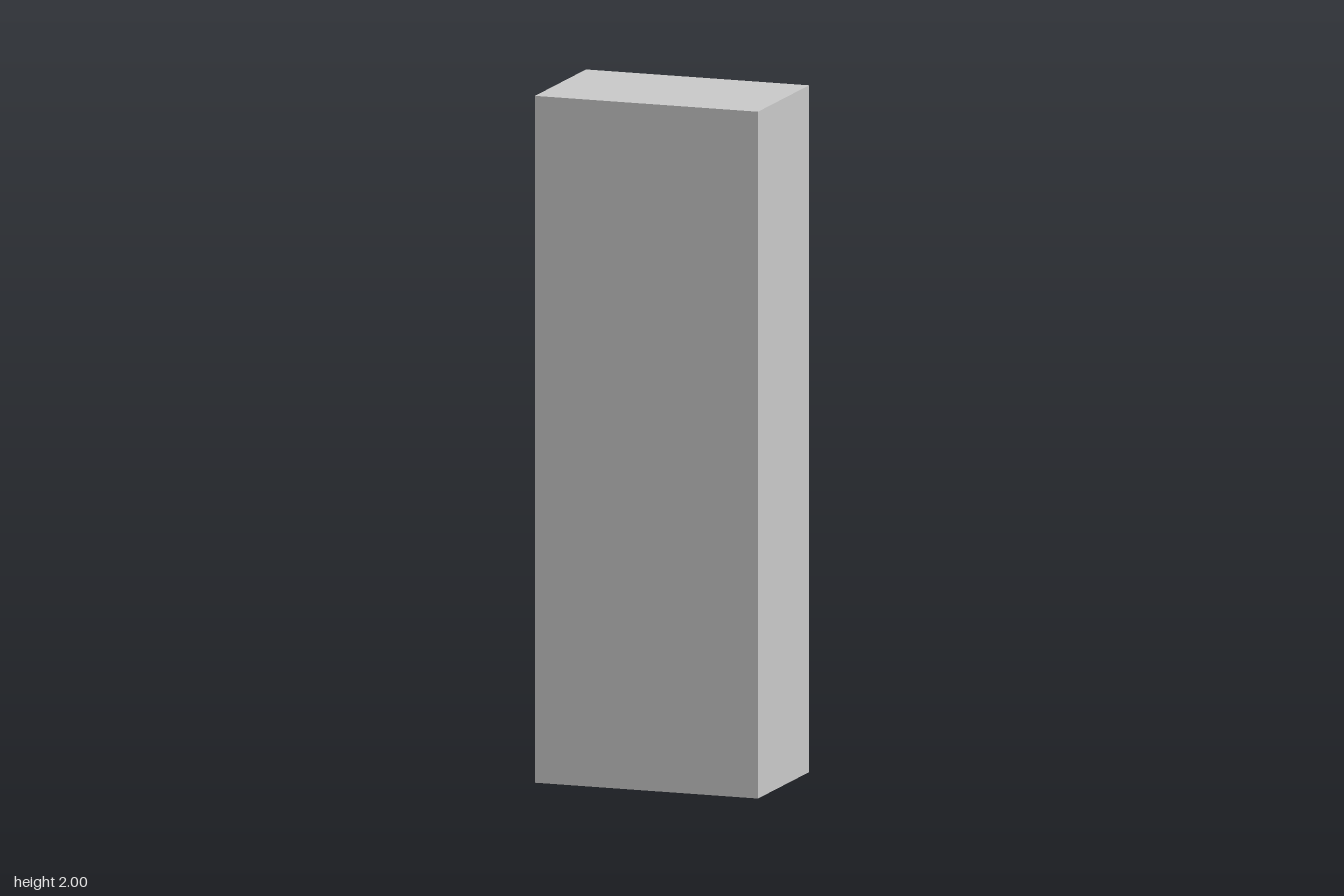
import * as THREE from 'three';

const W = 0.68, H = 2, D = 0.42;   // overall cabinet size
const BAY_W = 0.436;               // width of the recess at the foot of the back
const BAY_H = 0.325, BAY_D = 0.028; // its height and depth
const PLATE_Y = 0.022;             // raised underside plate

export function createModel() {
  const group = new THREE.Group();
  group.name = 'cabinet';
  const material = new THREE.MeshStandardMaterial({ color: 0xcccccc });

  const add = (name, geometry, x = 0) => {
    const mesh = new THREE.Mesh(geometry, material);
    mesh.name = name;
    mesh.position.x = x;
    group.add(mesh);
  };

  // Centre section: side profile (z, y) with the back recess and raised plate
  const back = -D / 2, front = D / 2, panel = back + BAY_D;
  const profile = new THREE.Shape([
    [front, 0], [front, H], [back, H], [back, BAY_H],
    [panel, BAY_H], [panel, 0.034], [panel + 0.006, PLATE_Y],
    [0.005, PLATE_Y], [0.005, 0],
  ].map(([z, y]) => new THREE.Vector2(-z, y)));
  const centre = new THREE.ExtrudeGeometry(profile, { depth: BAY_W, bevelEnabled: false });
  centre.translate(0, 0, -BAY_W / 2);
  centre.rotateY(Math.PI / 2); // profile x becomes -z, extrusion runs along x
  add('centreBody', centre);

  // Full-depth sides flanking the recess
  const sideW = (W - BAY_W) / 2;
  for (const [name, s] of [['leftBody', 1], ['rightBody', -1]]) {
    const side = new THREE.BoxGeometry(sideW, H, D);
    side.translate(0, H / 2, 0);
    add(name, side, s * (BAY_W + sideW) / 2);
  }

  return group;
}
